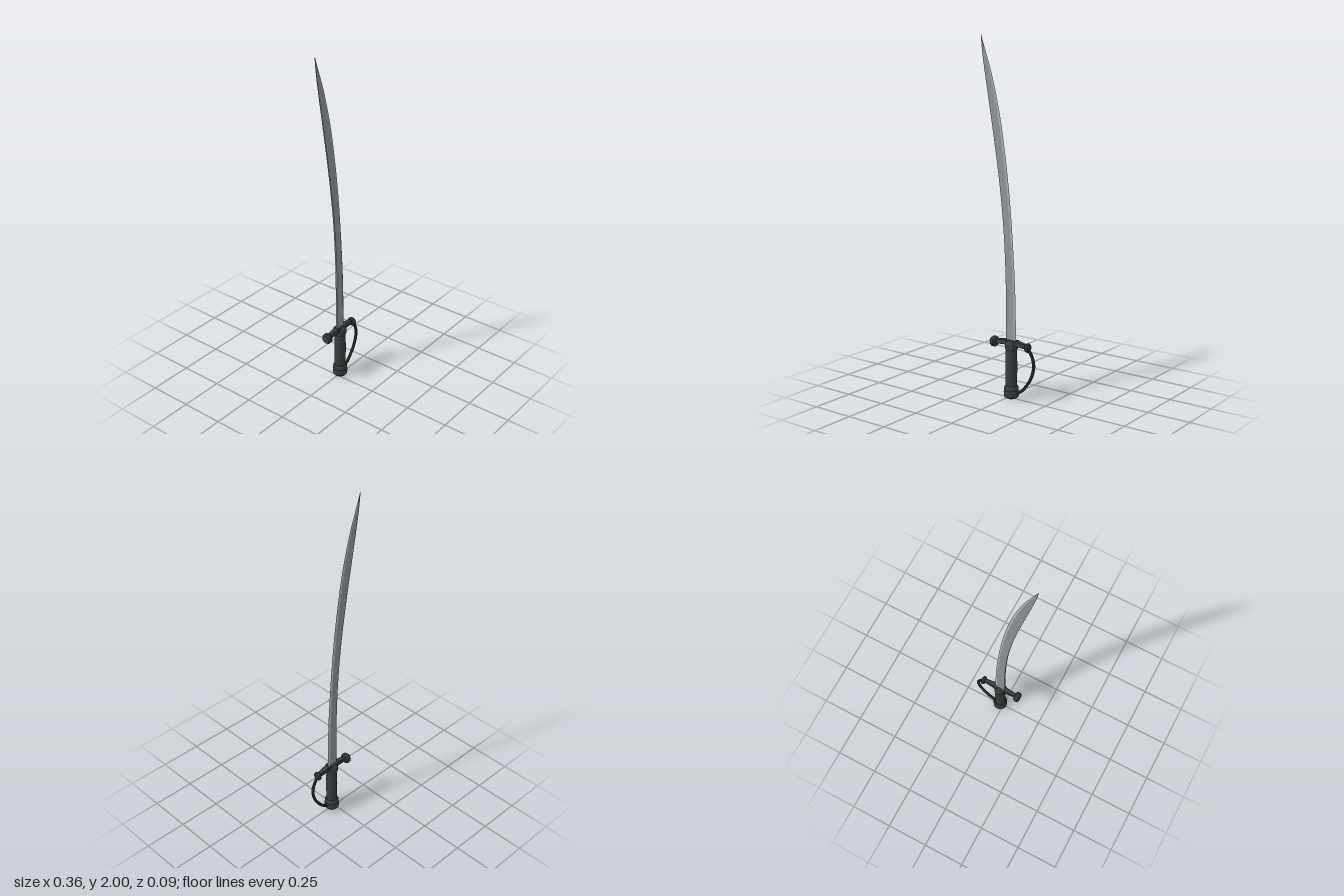
import * as THREE from 'three';

const AXIS = 0.021; // x of the hilt's centre line

export function createModel() {
  const group = new THREE.Group();
  group.name = 'sabre';
  const makeMaterial = (name, color) => {
    const material = new THREE.MeshStandardMaterial({ color, flatShading: true });
    material.name = name;
    return material;
  };
  const steel = makeMaterial('blade steel', 0x8f959b);
  const honed = makeMaterial('honed edge', 0xb2b6ba);
  const iron = makeMaterial('dark iron', 0x343f3d);

  const add = (name, geometry, material = iron) => {
    const mesh = new THREE.Mesh(geometry, material);
    mesh.name = name;
    group.add(mesh);
    return mesh;
  };
  const lathe = (profile, sides) =>
    new THREE.LatheGeometry(profile.map(([r, y]) => new THREE.Vector2(r, y)), sides);

  // Closed loft through equal rings of points, capped at both ends
  const loft = (rings) => {
    const n = rings[0].length;
    const index = [];
    for (let i = 0; i < rings.length - 1; i++) {
      for (let j = 0; j < n; j++) {
        const a = i * n + j, b = i * n + (j + 1) % n;
        index.push(a, b, b + n, a, b + n, a + n);
      }
    }
    const top = (rings.length - 1) * n;
    for (let j = 1; j < n - 1; j++) {
      index.push(0, j + 1, j, top, top + j, top + j + 1);
    }
    const g = new THREE.BufferGeometry();
    g.setAttribute('position', new THREE.Float32BufferAttribute(rings.flat(2), 3));
    g.setIndex(index);
    g.computeVertexNormals();
    return g;
  };

  // Blade: each row is spine x, height, cutting edge x
  const rows = [
    [-0.012, 0.325, 0.053], [-0.013, 0.6, 0.047], [-0.02, 0.8, 0.036],
    [-0.034, 1.0, 0.021], [-0.057, 1.2, 0.001], [-0.087, 1.4, -0.026],
    [-0.121, 1.6, -0.061], [-0.156, 1.8, -0.112], [-0.172, 1.9, -0.146],
    [-0.183, 2.0, -0.182],
  ];
  const outline = new THREE.CatmullRomCurve3(rows.map((r) => new THREE.Vector3(...r)));
  const sections = outline.getPoints(36).map(({ x: spine, y, z: edge }) => ({
    spine, y, edge,
    bevel: spine + (edge - spine) * 0.8,
    t: 0.007 - 0.005 * (y - 0.325) / 1.675,
  }));
  // Flat body of the blade, then the bevelled edge along its convex side
  add('blade', loft(sections.map(({ spine, bevel, y, t }) =>
    [[spine, y, t * 0.8], [bevel, y, t], [bevel, y, -t], [spine, y, -t * 0.8]])), steel);
  add('cuttingEdge', loft(sections.map(({ bevel, edge, y, t }) =>
    [[bevel, y, t], [edge, y, 0], [bevel, y, -t]])), honed);

  // Plain grip with a slight swell
  add('grip', lathe([
    [0.031, 0.065], [0.0325, 0.12], [0.033, 0.175], [0.0325, 0.23], [0.031, 0.285],
  ], 20)).position.x = AXIS;

  // Pommel cap and the ferrule below the guard
  add('pommel', lathe([
    [0, 0], [0.026, 0], [0.036, 0.005], [0.042, 0.014], [0.043, 0.036], [0.039, 0.046],
    [0.041, 0.052], [0.04, 0.064], [0.034, 0.074], [0, 0.074],
  ], 24)).position.x = AXIS;
  add('ferrule', lathe([
    [0, 0.28], [0.032, 0.28], [0.036, 0.287], [0.036, 0.314], [0.031, 0.325],
    [0.02, 0.335], [0, 0.335],
  ], 20)).position.x = AXIS;

  // Crossguard block and tapering arms
  add('guardBlock', new THREE.BoxGeometry(0.074, 0.028, 0.038)).position.set(AXIS, 0.322, 0);
  const armRing = (x, y, h, d) => [[x, y - h, d], [x, y - h, -d], [x, y + h, -d], [x, y + h, d]];
  add('crossguard', loft([
    armRing(-0.09, 0.312, 0.012, 0.009),
    armRing(-0.02, 0.321, 0.014, 0.015),
    armRing(0.062, 0.321, 0.014, 0.015),
    armRing(0.13, 0.312, 0.012, 0.009),
  ]));

  // Faceted knobs at the ends of the crossguard
  for (const [name, x, width, radius] of [
    ['rightKnob', -0.096, 0.034, 0.031], ['leftKnob', 0.132, 0.022, 0.026],
  ]) {
    const w = width / 2;
    const knob = add(name, lathe([
      [0, -w], [radius * 0.75, -w], [radius, -w * 0.45], [radius, w * 0.45], [radius * 0.75, w], [0, w],
    ], 12));
    knob.rotation.z = Math.PI / 2;
    knob.position.set(x, 0.309, 0);
  }

  // Knuckle bow from the crossguard down to the pommel
  const bow = new THREE.CatmullRomCurve3([
    [0.135, 0.302], [0.154, 0.276], [0.169, 0.24], [0.172, 0.2],
    [0.156, 0.142], [0.122, 0.087], [0.087, 0.05], [0.05, 0.032],
  ].map(([x, y]) => new THREE.Vector3(x, y, 0)));
  add('knuckleBow', new THREE.TubeGeometry(bow, 28, 0.009, 8));

  return group;
}
